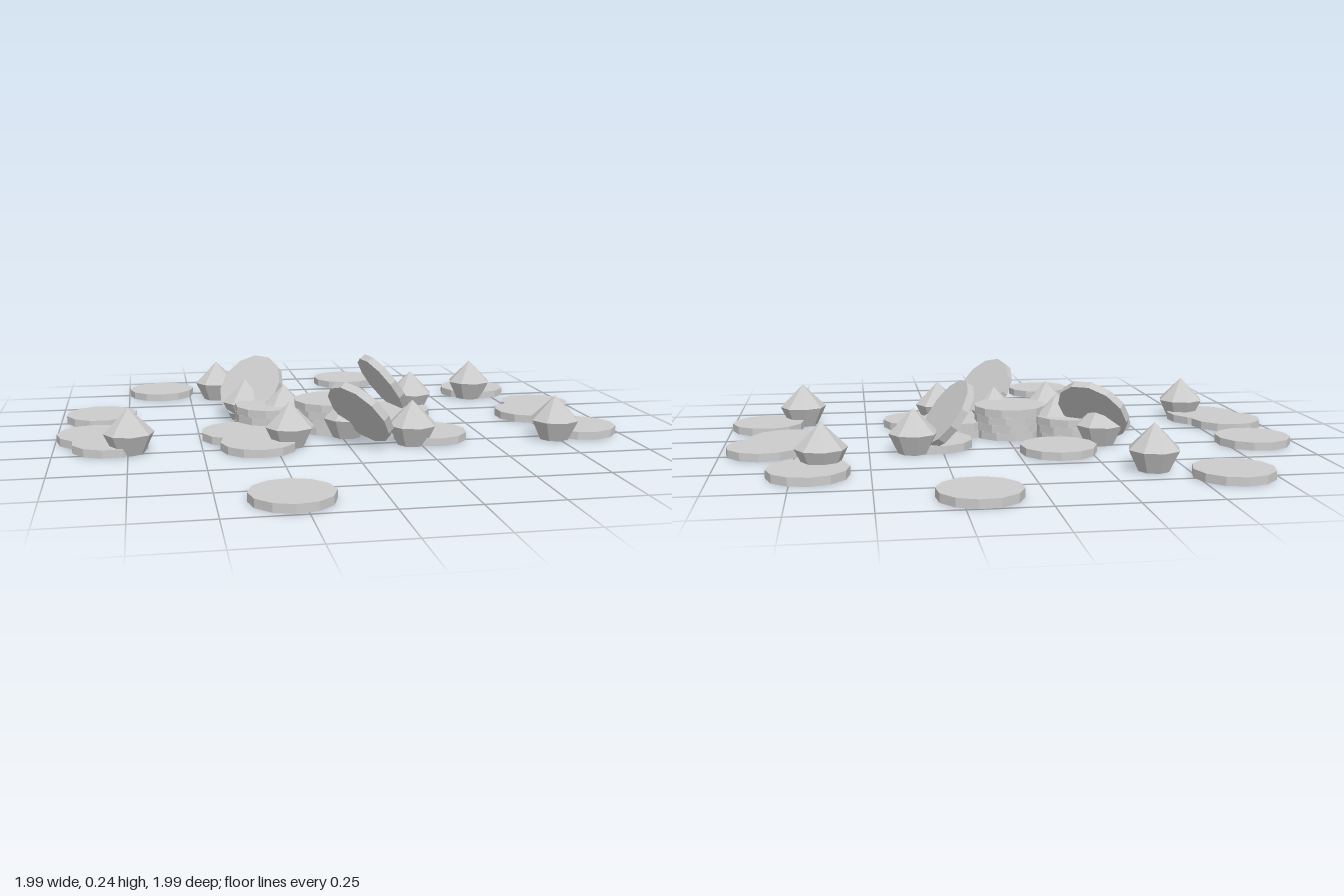
import * as THREE from 'three';

const R = 0.131, T = 0.028; // coin radius and thickness

export function createModel() {
  const root = new THREE.Group();
  const mat = new THREE.MeshStandardMaterial({ color: 0xcccccc, flatShading: true });

  const coinGeo = new THREE.CylinderGeometry(R, R, T, 12);
  // cut gem: flat foot, wide girdle, pointed crown
  const gemGeo = new THREE.LatheGeometry(
    [[0, 0], [0.052, 0], [0.086, 0.07], [0, 0.156]].map(([x, y]) => new THREE.Vector2(x, y)), 8);

  const add = (name, geo, x, y, z, turn = 0) => {
    const m = new THREE.Mesh(geo, mat);
    m.name = name;
    m.position.set(x, y, z);
    m.rotation.y = turn;
    root.add(m);
    return m;
  };

  // coins lying loose on the ground: x, z
  [
    [-0.615, -0.74], [0.195, -0.87], [-0.85, -0.285], [0.695, -0.555],
    [0.85, -0.21], [0.78, -0.08], [0.865, 0.205], [-0.865, 0.04],
    [-0.81, 0.165], [-0.365, 0.08], [-0.31, 0.25], [-0.14, -0.335],
    [0.27, -0.18], [0.305, 0.2], [-0.28, 0.86],
  ].forEach(([x, z], i) => add('looseCoin', coinGeo, x, T / 2, z, i * 0.37));

  // stacked coins: x, z, count
  [[-0.23, -0.085, 3], [-0.02, -0.012, 4], [0.17, 0.05, 2]].forEach(([x, z, n]) => {
    for (let i = 0; i < n; i++) add('stackedCoin', coinGeo, x, T * (i + 0.5), z, i * 0.4);
  });

  // coins propped at an angle: centre, then direction of the upper face
  const up = new THREE.Vector3(0, 1, 0);
  [
    [0.037, 0.122, 0.285, 0.69, 0.6, -0.4],
    [0.23, 0.122, -0.225, 0.79, 0.58, -0.18],
    [-0.285, 0.122, -0.228, -0.54, 0.6, 0.59],
  ].forEach(([x, y, z, nx, ny, nz]) => {
    add('leaningCoin', coinGeo, x, y, z).quaternion
      .setFromUnitVectors(up, new THREE.Vector3(nx, ny, nz).normalize());
  });

  // gems scattered among the coins: x, z
  [
    [-0.39, -0.63], [0.655, -0.465], [0.35, -0.27], [-0.745, 0.23],
    [-0.2, 0.23], [0.222, 0.275], [0.738, 0.287], [0.02, 0.125],
    [-0.18, -0.08], [-0.31, -0.22],
  ].forEach(([x, z]) => add('gem', gemGeo, x, 0, z, 0.12));

  return root;
}
